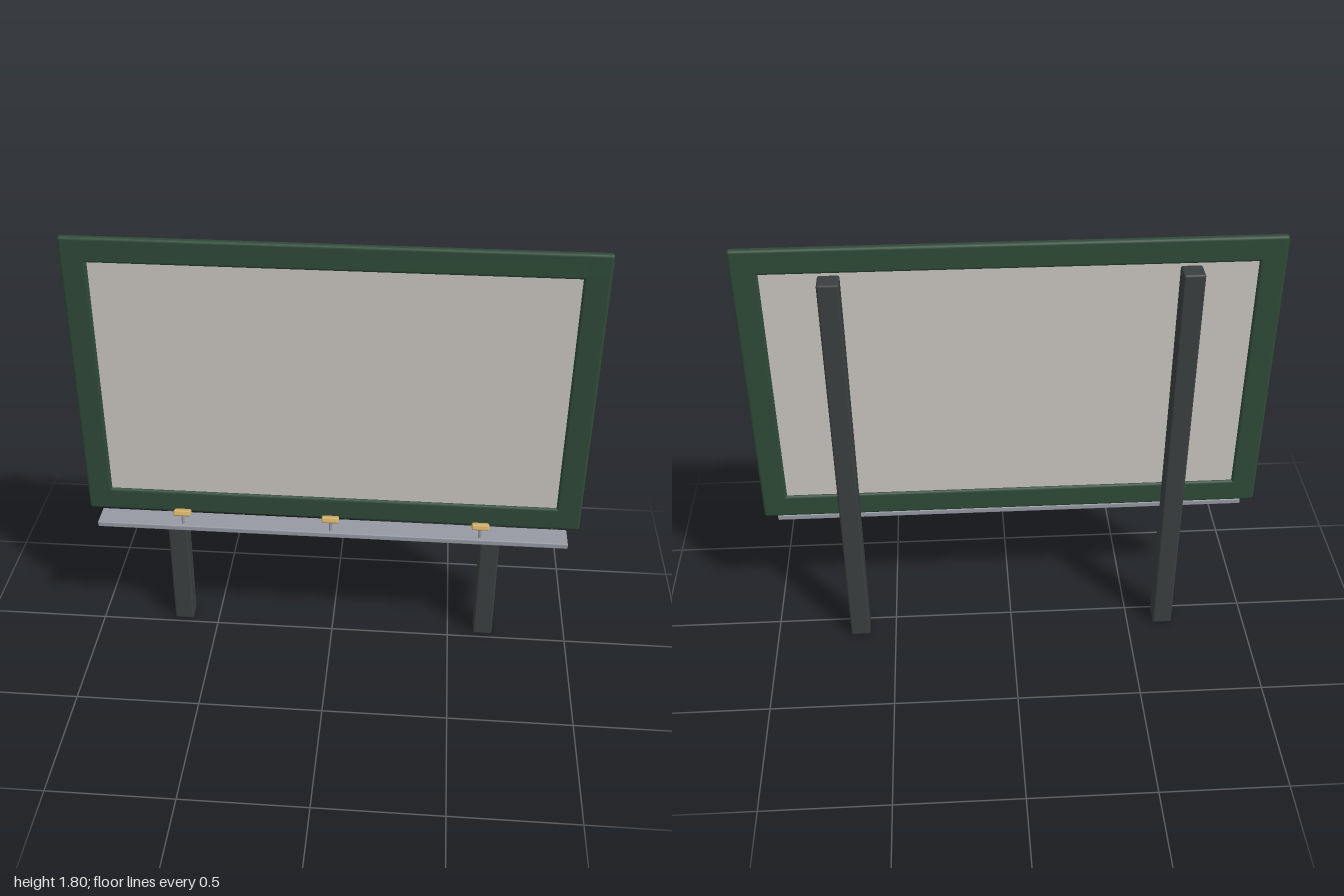
import * as THREE from 'three';
import { RoundedBoxGeometry } from 'three/addons/geometries/RoundedBoxGeometry.js';

const paint = (name, color) => {
  const m = new THREE.MeshStandardMaterial({ color });
  m.name = name;
  return m;
};

export function createModel() {
  const group = new THREE.Group();
  const green = paint('dark green frame', 0x2f4a37);
  const charcoal = paint('charcoal post', 0x3a3f40);
  const panelGrey = paint('warm grey panel', 0xc9c6bf);
  const steel = paint('grey steel', 0x9699a2);
  const brass = paint('brass lamp', 0xd0ae66);

  const add = (name, geometry, material, x, y, z, parent = group) => {
    const mesh = new THREE.Mesh(geometry, material);
    mesh.name = name;
    mesh.position.set(x, y, z);
    parent.add(mesh);
    return mesh;
  };
  const rounded = (w, h, d, r) => new RoundedBoxGeometry(w, h, d, 3, r);

  // Display panel set inside the frame
  add('panel', new THREE.BoxGeometry(1.82, 1.02, 0.01), panelGrey, 0, 1.2, 0);

  // Rails run the full width, stiles fill the sides
  for (const y of [0.65, 1.75]) add('frameRail', rounded(2, 0.1, 0.03, 0.012), green, 0, y, 0);
  for (const side of [-1, 1]) {
    add('frameStile', rounded(0.1, 1.2, 0.03, 0.012), green, side * 0.95, 1.2, 0);
    // Posts behind the board
    add('post', rounded(0.08, 1.7, 0.08, 0.008), charcoal, side * 0.65, 0.85, -0.06);
  }

  // Ledge under the board
  add('ledge', rounded(1.9, 0.024, 0.1, 0.005), steel, 0, 0.58, 0.05);

  // Three small lamps standing on the ledge
  for (const x of [-0.6, 0, 0.6]) {
    const lamp = new THREE.Group();
    lamp.name = 'lamp';
    lamp.position.set(x, 0.59, 0.08);
    add('lampStem', new THREE.CylinderGeometry(0.006, 0.006, 0.05, 12), steel, 0, 0.025, 0, lamp);
    const head = add('lampHead', rounded(0.07, 0.026, 0.036, 0.008), brass, 0, 0.055, 0, lamp);
    head.rotation.x = -0.4;
    group.add(lamp);
  }
  return group;
}
